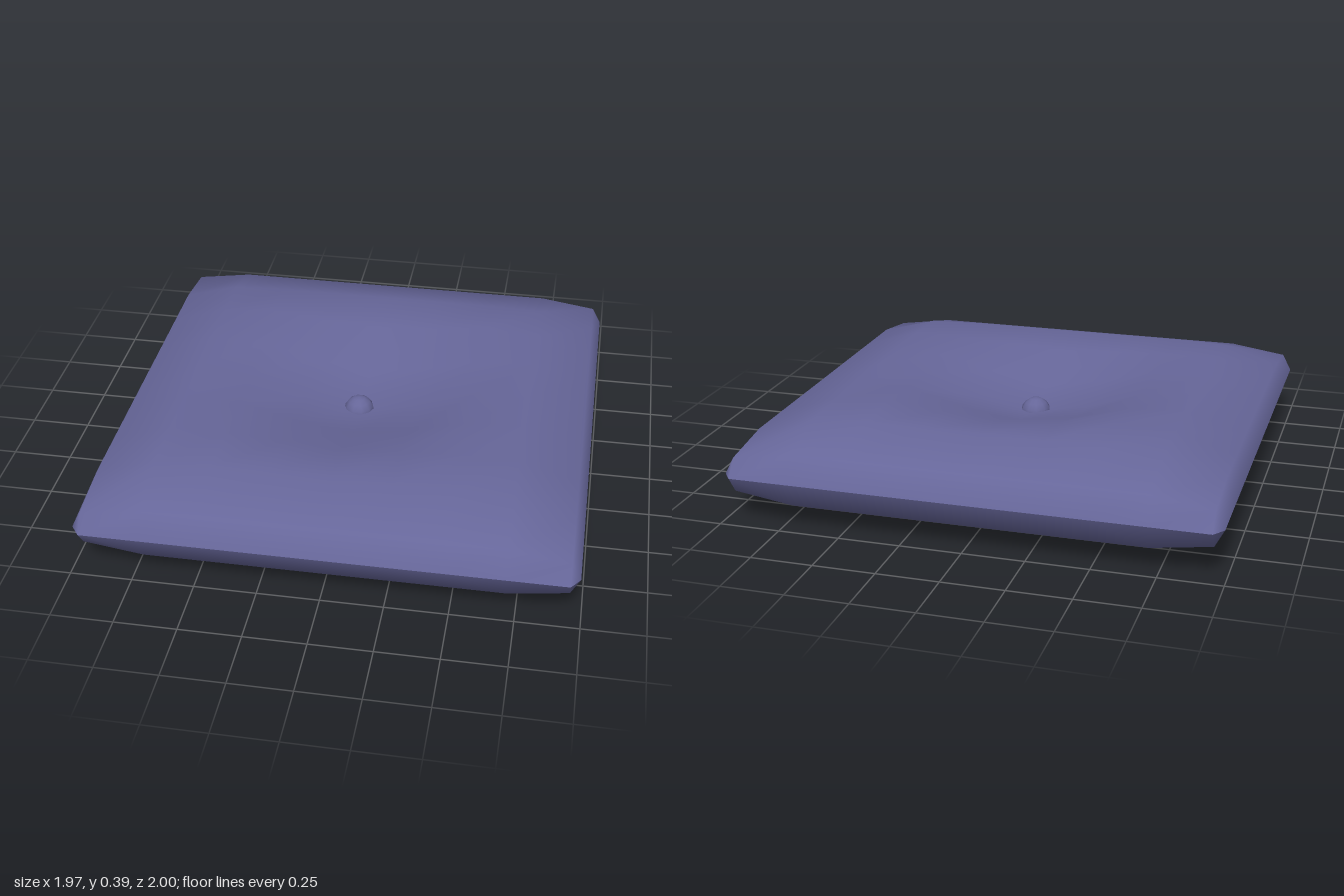
import * as THREE from 'three';

const MID = 0.2; // height of the seam
const LINES = [0, 0.24, 0.48, 0.71, 0.95]; // grid lines from the centre outwards
const SEAM_X = 0.987, SEAM_Z = 1;

// Signed grid coordinate for a line number from -5 to 5
const line = (k, edge) => Math.sign(k) * (Math.abs(k) === 5 ? edge : LINES[Math.abs(k)]);

// Height of the padding above the seam
function puff(i, j, x, z) {
  const a = Math.abs(i), b = Math.abs(j), outer = Math.max(a, b);
  if (outer === 5) return 0;
  if (a === 4 && b === 4) return 0.07;
  if (outer === 4) return 0.105;
  if (a === 3 && b === 3) return 0.17;
  if (outer === 3) return 0.178;
  if (a === 2 && b === 2) return j < 0 ? 0.197 : 0.178;
  // Dimple drawn in by the buttons
  return 0.028 + 0.148 * THREE.MathUtils.smoothstep(Math.hypot(x, z), 0.04, 0.62);
}

// One half of the cushion: side = 1 for the top, -1 for the bottom
function cushionHalf(side) {
  const geo = new THREE.PlaneGeometry(2, 2, 10, 10);
  const pos = geo.attributes.position;
  for (let n = 0; n < pos.count; n++) {
    const i = (n % 11) - 5, j = Math.floor(n / 11) - 5;
    let x = line(i, SEAM_X), z = line(j, SEAM_Z);
    // Cut the four corners of the seam
    if (Math.abs(i) === 5 && Math.abs(j) === 5) {
      x = Math.sign(i) * 0.969;
      z = Math.sign(j) * 0.975;
    }
    pos.setXYZ(n, x, MID + side * puff(i, j, x, z), z);
  }
  if (side < 0) geo.setIndex(Array.from(geo.index.array).reverse());
  geo.computeVertexNormals();
  return geo;
}

export function createModel() {
  const group = new THREE.Group();
  const fabric = new THREE.MeshStandardMaterial({ color: 0x666699 });
  const add = (name, geo) => {
    const mesh = new THREE.Mesh(geo, fabric);
    mesh.name = name;
    group.add(mesh);
    return mesh;
  };

  for (const [side, label] of [[1, 'top'], [-1, 'bottom']]) {
    add(label + 'Cushion', cushionHalf(side));
    // Round button sitting in the dimple
    const button = add(label + 'Button', new THREE.SphereGeometry(0.065, 10, 8));
    button.position.set(-0.01, MID + side * 0.025, 0);
  }
  return group;
}
